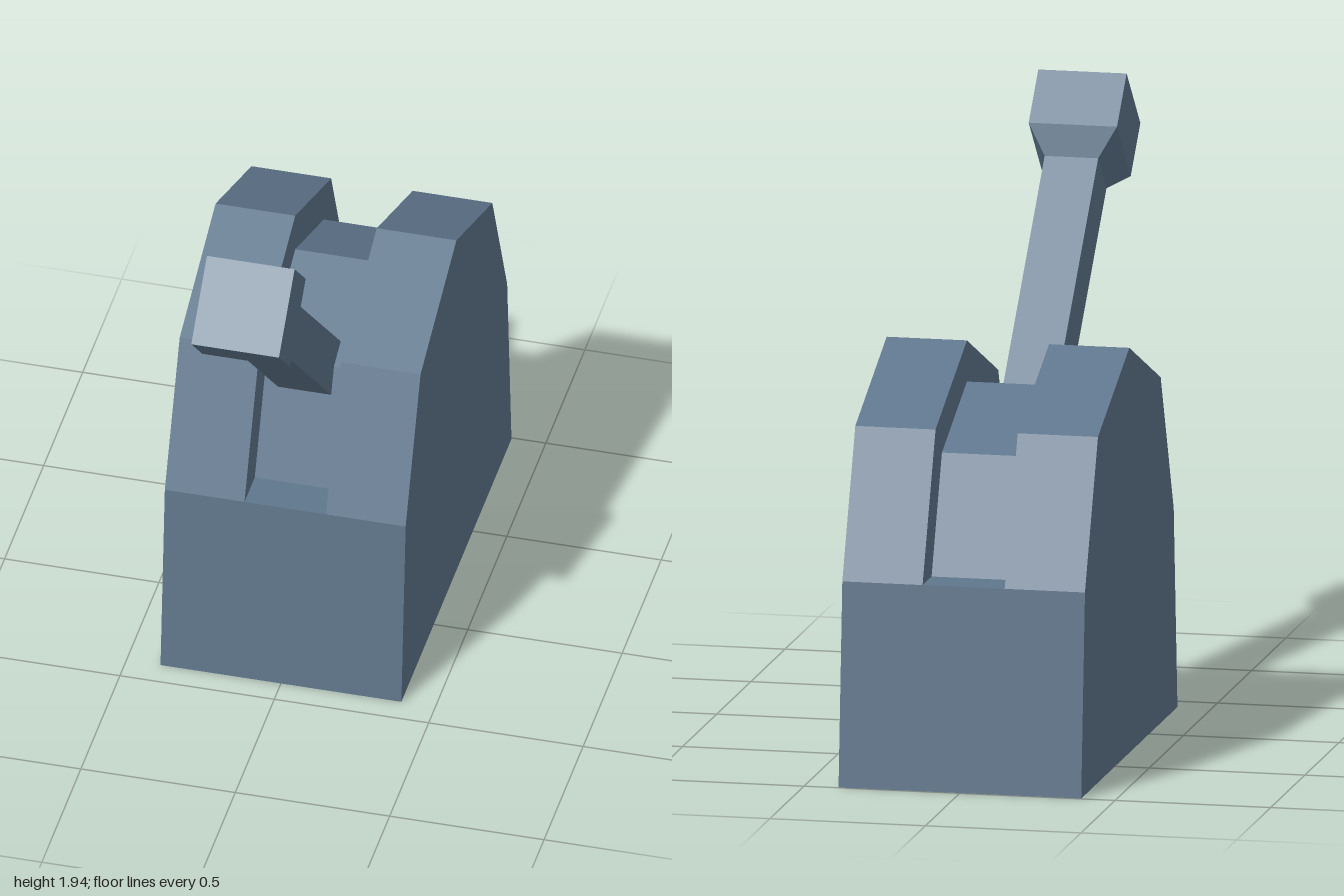
import * as THREE from 'three';

const material = new THREE.MeshStandardMaterial({ color: 0x5f768c, flatShading: true });

// Extrudes a [z, y] outline along x, centred on the given x.
function slab(name, outline, width, x = 0) {
  const shape = new THREE.Shape(outline.map(([z, y]) => new THREE.Vector2(z, y)));
  const geometry = new THREE.ExtrudeGeometry(shape, { depth: width, bevelEnabled: false });
  geometry.translate(0, 0, -width / 2).rotateY(-Math.PI / 2).translate(x, 0, 0);
  const mesh = new THREE.Mesh(geometry, material);
  mesh.name = name;
  return mesh;
}

export function createModel() {
  const model = new THREE.Group();
  model.name = 'leverSwitch';

  const pivotY = 0.65, pivotZ = -0.29;
  const halfWidth = 0.39, halfSlot = 0.132;

  // Half an octagon above the pivot height
  const arch = (radius) => Array.from({ length: 5 }, (_, i) => [
    pivotZ + radius * Math.cos(i * Math.PI / 4),
    pivotY + radius * Math.sin(i * Math.PI / 4),
  ]);

  // Solid tapered base
  model.add(slab('base', [[0.415, 0], [0.36, pivotY], [-0.94, pivotY], [-0.995, 0]], halfWidth * 2));

  // Cheeks either side of the slot
  const cheekWidth = halfWidth - halfSlot;
  for (const [name, side] of [['leftCheek', 1], ['rightCheek', -1]]) {
    model.add(slab(name, arch(0.65), cheekWidth, side * (halfSlot + cheekWidth / 2)));
  }

  // Recessed drum at the bottom of the slot
  model.add(slab('slotDrum', arch(0.518), halfSlot * 2));

  // Square lever with a flared grip, tilted forward about the pivot
  const profile = [[0, 0], [0.086, 0], [0.086, 1.4], [0.142, 1.485], [0.142, 1.685], [0, 1.685]]
    .map(([half, y]) => new THREE.Vector2(half * Math.SQRT2, y));
  const lever = new THREE.Mesh(new THREE.LatheGeometry(profile, 4, Math.PI / 4), material);
  lever.name = 'lever';
  lever.position.set(0, pivotY, pivotZ);
  lever.rotation.x = Math.PI / 4;
  model.add(lever);

  return model;
}
